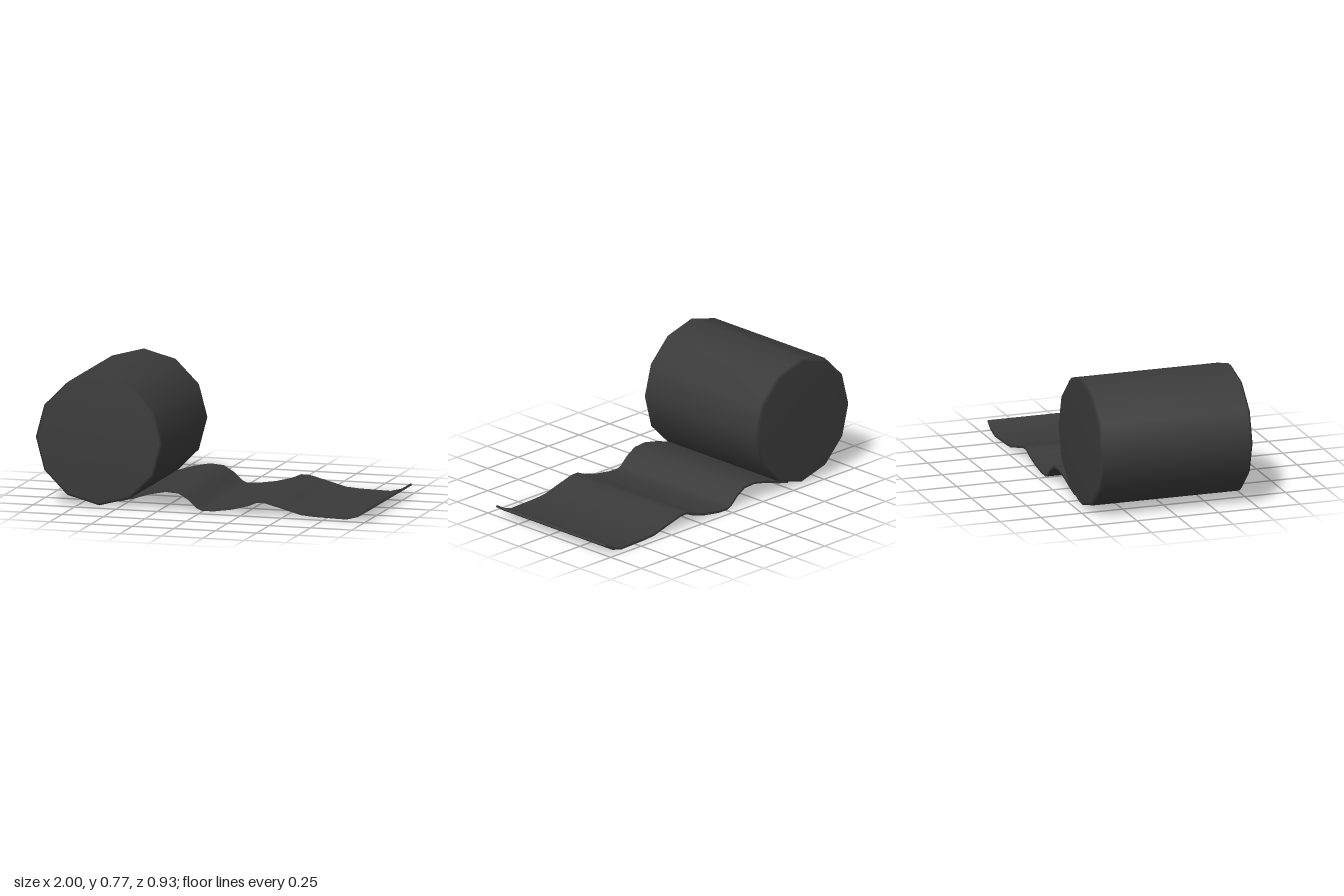
import * as THREE from 'three';
import { toCreasedNormals } from 'three/addons/utils/BufferGeometryUtils.js';

const material = new THREE.MeshStandardMaterial({ color: 0x3a3a3a });

// Twelve-sided roll with chamfered rims, axis along z
function createRoll() {
  const r = 0.383, half = 0.465, bevel = 0.018;
  const profile = [
    [0, -half], [r - bevel, -half], [r, -half + bevel],
    [r, half - bevel], [r - bevel, half], [0, half],
  ].map(([x, y]) => new THREE.Vector2(x, y));
  const geometry = new THREE.LatheGeometry(profile, 12);
  geometry.rotateX(Math.PI / 2);
  const roll = new THREE.Mesh(geometry, material);
  roll.name = 'roll';
  roll.position.set(-0.617, 0.393, 0);
  return roll;
}

// Wavy unrolled sheet: a centre line thickened on both sides and extruded
function createSheet() {
  const thickness = 0.013, back = -0.456, front = 0.436;
  const line = [
    [-0.5, 0.043], [-0.42, 0.063], [-0.32, 0.094], [-0.22, 0.114], [-0.14, 0.108],
    [-0.08, 0.073], [-0.03, 0.027], [0, 0.014], [0.07, 0.015], [0.18, 0.031],
    [0.28, 0.057], [0.33, 0.079], [0.38, 0.078], [0.47, 0.055], [0.6, 0.02],
    [0.68, 0.014], [0.87, 0.009], [0.94, 0.027], [0.996, 0.062],
  ].map(([x, y]) => new THREE.Vector2(x, y));

  const offset = (side) => line.map((p, i) => {
    const a = line[Math.max(i - 1, 0)], b = line[Math.min(i + 1, line.length - 1)];
    const t = b.clone().sub(a).normalize();
    return new THREE.Vector2(-t.y, t.x).multiplyScalar(side * thickness / 2).add(p);
  });
  const shape = new THREE.Shape([...offset(-1), ...offset(1).reverse()]);
  const geometry = new THREE.ExtrudeGeometry(shape, { depth: front - back, bevelEnabled: false });
  geometry.translate(0, 0, back);
  const sheet = new THREE.Mesh(toCreasedNormals(geometry, 0.9), material);
  sheet.name = 'unrolledSheet';
  return sheet;
}

export function createModel() {
  const model = new THREE.Group();
  model.name = 'sheetRoll';
  model.add(createRoll(), createSheet());
  return model;
}
